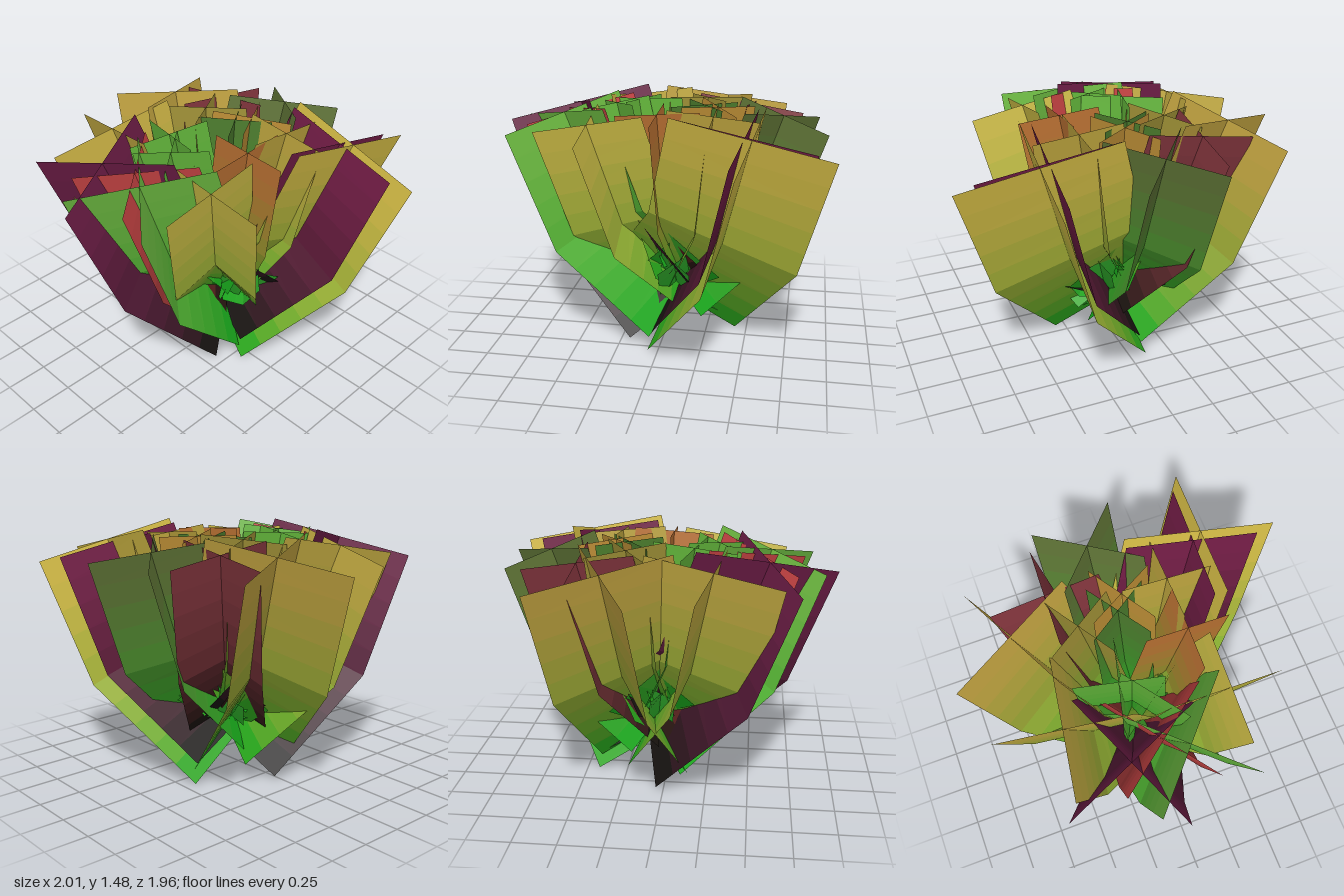
import * as THREE from 'three';

const GREEN = 0x12a81a, DARK = 0x0d120c;
const ROOT = new THREE.Vector3(-0.02, 0.235, -0.08); // where all leaves start

// One flat-shaded band between two four-cornered sections: two crossed panels
function bandGeometry(a, b) {
  const pos = [];
  for (const [i, j] of [[0, 2], [1, 3]]) {
    for (const p of [a[i], a[j], b[j], a[i], b[j], b[i]]) pos.push(p.x, p.y, p.z);
  }
  const g = new THREE.BufferGeometry();
  g.setAttribute('position', new THREE.Float32BufferAttribute(pos, 3));
  g.computeVertexNormals();
  return g;
}

// A leaf of two crossed blades bending outward, given by its two outer top tips
function leaf(name, [x1, z1, x2, z2], baseColor, tipColor, topY = 1.37) {
  const group = new THREE.Group();
  group.name = name;
  const side = new THREE.Vector3(x2 - x1, 0, z2 - z1);
  const w = side.length();
  side.normalize();
  const out = new THREE.Vector3(side.z, 0, -side.x);
  const mid = new THREE.Vector3((x1 + x2) / 2 - ROOT.x, 0, (z1 + z2) / 2 - ROOT.z);
  if (out.dot(mid) < 0) out.negate();
  const shift = mid.dot(side), H = topY - ROOT.y;
  const reach = Math.max(mid.dot(out) - w * 0.47, 0.02);
  const lean = Math.min(reach / 0.81 * 1.13 / H, 1.5);
  const lift = (0.62 - w) * 0.75 * H / 1.13; // narrow leaves start higher

  // Square section across the blade, tilted by the bend
  const section = (r, y, lateral, angle) => {
    const c = ROOT.clone().addScaledVector(out, r).addScaledVector(side, lateral);
    c.y = y;
    const n = out.clone().multiplyScalar(Math.cos(angle));
    n.y = -Math.sin(angle);
    return [[1, 1], [1, -1], [-1, -1], [-1, 1]].map(([i, j]) =>
      c.clone().addScaledVector(n, i * w / 2).addScaledVector(side, j * w / 2));
  };
  const key = [
    section(-0.06 * lean, ROOT.y + lift, 0, 0.92 * lean),
    section(reach * 0.65, ROOT.y + H * 0.43 + lift * 0.25, shift * 0.6, 0.58 * lean),
    section(reach, topY, shift, 0.33 * lean),
  ];
  const between = (a, b, t) => a.map((p, i) => p.clone().lerp(b[i], t));

  // Short bands blend the colour from base to tip
  const bands = 10;
  const at = (k) => {
    const t = k / bands * 2;
    return t <= 1 ? between(key[0], key[1], t) : between(key[1], key[2], t - 1);
  };
  for (let k = 0; k < bands; k++) {
    const blend = Math.min(1, 0.03 + k / bands * 1.15);
    const color = new THREE.Color(baseColor).lerp(new THREE.Color(tipColor), blend);
    const mesh = new THREE.Mesh(bandGeometry(at(k), at(k + 1)),
      new THREE.MeshStandardMaterial({ color, side: THREE.DoubleSide }));
    mesh.name = 'leafBand';
    group.add(mesh);
  }
  return group;
}

export function createModel() {
  const model = new THREE.Group();
  model.name = 'leafyPlant';

  // Large outer leaves
  const outer = [
    [[1, -0.49, 0.59, -0.98], GREEN, 0xd0b844],
    [[0.88, -0.45, 0.53, -0.88], DARK, 0x701c44],
    [[-0.09, 0.97, -0.67, 0.74], DARK, 0x6a1c44],
    [[-1, -0.12, -0.8, -0.67], GREEN, 0xbc9e3e],
    [[-0.91, 0.21, -0.6, 0.66], GREEN, 0xc0a840],
    [[0.36, 0.85, -0.22, 0.89], GREEN, 0x6cb840],
    [[0.67, 0.37, 0.36, 0.69], GREEN, 0xc8b844],
    [[0.15, -0.93, -0.33, -0.88], GREEN, 0x5c7034],
    [[-0.35, 0.73, 0.15, 0.79], DARK, 0xc84444],
    [[-0.37, -0.78, -0.7, -0.47], DARK, 0x80343c],
  ];
  for (const [tips, base, tip] of outer) model.add(leaf('outerLeaf', tips, base, tip));

  // Narrower upright leaves
  const inner = [
    [[0.5, 0, 0.26, 0.24], GREEN, 0xb87032],
    [[0.52, -0.3, 0.26, -0.56], GREEN, 0xb8a03c],
    [[-0.42, 0.1, -0.24, 0.4], GREEN, 0x62b43a],
    [[0.2, -0.42, -0.12, -0.5], GREEN, 0xb88a34],
    [[-0.48, -0.08, -0.4, -0.42], GREEN, 0x9a8c34],
    [[0.1, 0.46, -0.2, 0.42], GREEN, 0x62b43a],
    [[-0.22, -0.1, -0.16, -0.4], GREEN, 0x4a7a2c],
  ];
  for (const [tips, base, tip] of inner) model.add(leaf('innerLeaf', tips, base, tip, 1.42));

  // Small sprouts around the root
  for (let i = 0; i < 6; i++) {
    const a = 0.5 + i * 2.4, r = 0.24 + (i % 3) * 0.07, d = 0.24;
    const tips = [a - d, a + d].flatMap((t) => [r * Math.cos(t), r * Math.sin(t) - 0.08]);
    model.add(leaf('sprout', tips, GREEN, i % 4 === 3 ? DARK : 0x2fa52a, 0.48 + (i % 4) * 0.07));
  }
  return model;
}
